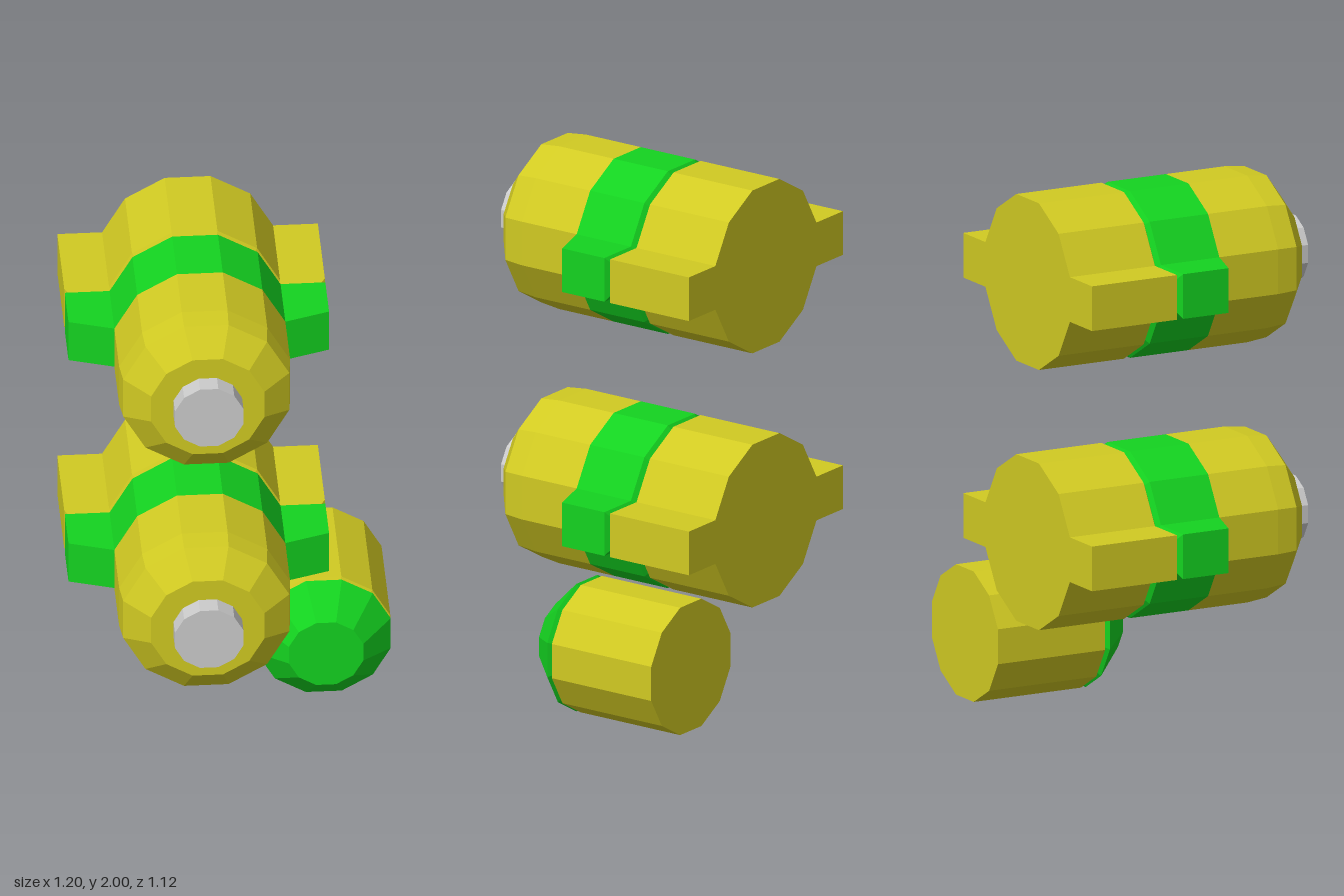
import * as THREE from 'three';

const yellow = new THREE.MeshStandardMaterial({ color: 0xd1ca22, flatShading: true });
const green = new THREE.MeshStandardMaterial({ color: 0x14d320, flatShading: true });
const grey = new THREE.MeshStandardMaterial({ color: 0xcccccc, flatShading: true });

// Twelve-sided ring with flats on top and sides; a is the distance to a flat.
function ring(a, z) {
  const r = a / Math.cos(Math.PI / 12);
  return Array.from({ length: 12 }, (_, i) => {
    const t = ((i * 2 - 1) * Math.PI) / 12;
    return new THREE.Vector3(r * Math.cos(t), r * Math.sin(t), z);
  });
}

// The same ring with a rectangular ear on each side, inset by d.
function earedRing(d, z, earX = 0.483, earZ = z) {
  const a = 0.317 - d, h = 0.085 - d;
  const x = (a - h / 2) / Math.cos(Math.PI / 6);
  const ex = earX === null ? x : earX - d;
  const base = ring(a, z);
  const ear = (s) => [
    new THREE.Vector3(s * x, -s * h, z), new THREE.Vector3(s * ex, -s * h, earZ),
    new THREE.Vector3(s * ex, s * h, earZ), new THREE.Vector3(s * x, s * h, z),
  ];
  return [...ear(1), ...base.slice(2, 6), ...ear(-1), ...base.slice(8, 12)];
}

// Solid through rings ordered from back to front, with both ends closed.
function loft(name, rings, material) {
  const pos = [];
  const tri = (a, b, c) => {
    const area = b.clone().sub(a).cross(c.clone().sub(a)).length();
    if (area > 1e-7) for (const p of [a, b, c]) pos.push(p.x, p.y, p.z);
  };
  const n = rings[0].length, last = rings[rings.length - 1];
  const back = new THREE.Vector3(0, 0, rings[0][0].z);
  const front = new THREE.Vector3(0, 0, last[0].z);
  for (let j = 0; j < n; j++) {
    const k = (j + 1) % n;
    for (let i = 0; i < rings.length - 1; i++) {
      const p = rings[i], q = rings[i + 1];
      tri(p[j], p[k], q[k]);
      tri(p[j], q[k], q[j]);
    }
    tri(back, rings[0][k], rings[0][j]);
    tri(front, last[j], last[k]);
  }
  const geometry = new THREE.BufferGeometry();
  geometry.setAttribute('position', new THREE.Float32BufferAttribute(pos, 3));
  geometry.computeVertexNormals();
  const mesh = new THREE.Mesh(geometry, material);
  mesh.name = name;
  return mesh;
}

function largeCanister() {
  const g = new THREE.Group();
  g.add(
    // rear housing with ears and a bevelled front edge
    loft('rearHousing', [earedRing(0, -0.56), earedRing(0, -0.199), earedRing(0.02, -0.187)], yellow),
    // coloured band, its ears tapering forward into the body
    loft('band', [earedRing(0.02, -0.187), earedRing(0, -0.173),
      earedRing(0, 0.075, 0.483, 0.02), earedRing(0, 0.075, null)], green),
    // nose and end plug
    loft('nose', [ring(0.317, 0.075), ring(0.317, 0.325), ring(0.308, 0.408), ring(0.21, 0.487)], yellow),
    loft('plug', [ring(0.127, 0.48), ring(0.127, 0.56)], grey)
  );
  return g;
}

function smallCanister() {
  const g = new THREE.Group();
  g.name = 'smallCanister';
  g.add(
    loft('smallBody', [ring(0.248, -0.56), ring(0.248, -0.105), ring(0.232, -0.095)], yellow),
    loft('smallCap', [ring(0.232, -0.095), ring(0.248, -0.084), ring(0.138, 0.034)], green)
  );
  return g;
}

export function createModel() {
  const model = new THREE.Group();
  [['upperCanister', 1.683], ['lowerCanister', 0.693]].forEach(([name, y]) => {
    const canister = largeCanister();
    canister.name = name;
    canister.position.set(-0.119, y, 0);
    model.add(canister);
  });
  const small = smallCanister();
  small.position.set(0.352, 0.248, 0);
  model.add(small);
  return model;
}
